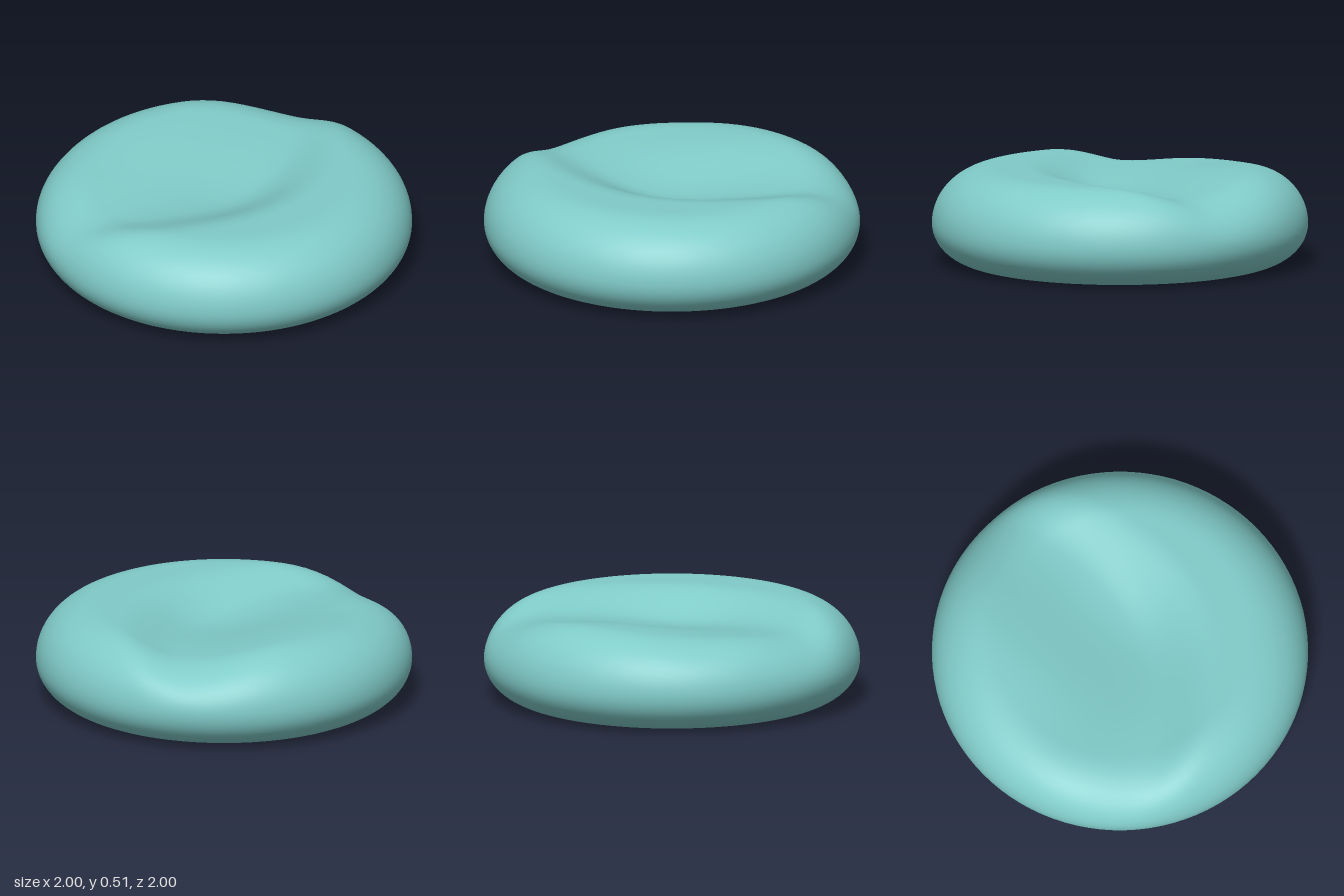
import * as THREE from 'three';
import { mergeVertices } from 'three/addons/utils/BufferGeometryUtils.js';

const RIM_Y = 0.215;
const TOP_Y = 0.515;

// Closed cushion outline from bottom centre, round the rim, to top centre
function cushionProfile() {
  const points = [];
  for (const r of [0, 0.25, 0.5]) points.push(new THREE.Vector2(r, 0));
  for (let i = 0; i <= 14; i++) {
    const a = (i / 14) * Math.PI / 2;
    points.push(new THREE.Vector2(0.74 + 0.26 * Math.sin(a), RIM_Y * (1 - Math.cos(a))));
  }
  for (let i = 1; i <= 20; i++) {
    const a = (i / 20) * Math.PI / 2;
    points.push(new THREE.Vector2(0.68 + 0.32 * Math.cos(a), RIM_Y + (TOP_Y - RIM_Y) * Math.sin(a)));
  }
  for (let i = 21; i >= 0; i--) points.push(new THREE.Vector2(0.68 * i / 22, TOP_Y));
  return points;
}

// Depth of the curved seat hollow, which runs diagonally behind the centre
function hollowDepth(x, z) {
  const s = (x + z) * Math.SQRT1_2; // towards the front of the seat
  const t = (x - z) * Math.SQRT1_2; // along the hollow
  const d = s - (0.08 - 0.55 * t * t);
  const reach = Math.min(1, Math.abs(d) / (d > 0 ? 0.42 : 0.72));
  const across = 0.5 + 0.5 * Math.cos(Math.PI * reach);
  const along = 0.075 + 0.055 * Math.exp(-((t / 0.4) ** 2));
  // One shoulder of the backrest sags a little
  const sag = 0.035 * Math.exp(-(((x + 0.7) ** 2 + (z + 0.15) ** 2) / 0.16));
  return along * across + sag * (1 - across);
}

export function createModel() {
  const teal = new THREE.MeshStandardMaterial({ color: 0x80cbc8 });
  teal.name = 'soft teal';

  // Revolve the outline, weld its seam, then press in the hollow
  let geometry = new THREE.LatheGeometry(cushionProfile(), 96);
  geometry.deleteAttribute('uv');
  geometry.deleteAttribute('normal');
  geometry = mergeVertices(geometry, 1e-5);
  const p = geometry.attributes.position;
  for (let i = 0; i < p.count; i++) {
    const y = p.getY(i);
    if (y <= RIM_Y) continue;
    const weight = (y - RIM_Y) / (TOP_Y - RIM_Y);
    p.setY(i, y - weight * hollowDepth(p.getX(i), p.getZ(i)));
  }
  geometry.computeVertexNormals();

  const cushion = new THREE.Mesh(geometry, teal);
  cushion.name = 'cushion';
  const model = new THREE.Group();
  model.name = 'floorCushion';
  model.add(cushion);
  return model;
}
